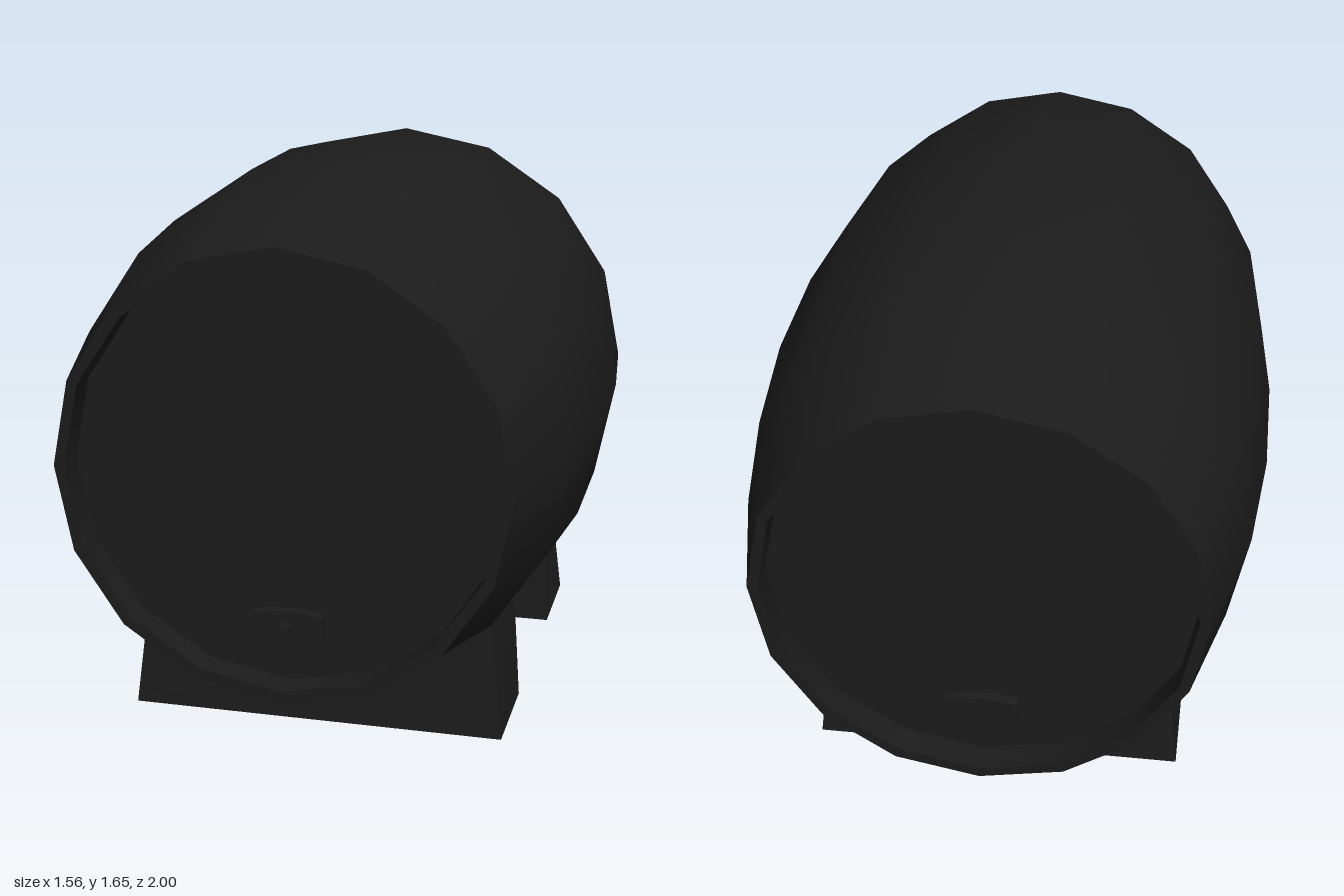
import * as THREE from 'three';

const SIDES = 16, AXIS_Y = 0.875, END_R = 0.648, INNER_R = 0.617, END_Z = 0.998, RECESS = 0.09;

export function createModel() {
  const model = new THREE.Group();
  model.name = 'barrelOnCradles';
  const black = new THREE.MeshStandardMaterial({ color: 0x1c1c1c });
  black.name = 'charcoal black';

  const add = (parent, name, geometry) => {
    const mesh = new THREE.Mesh(geometry, black);
    mesh.name = name;
    parent.add(mesh);
    return mesh;
  };
  // Lathe turned so that its axis runs along z
  const lathe = (points) => new THREE.LatheGeometry(
    points.map(([r, z]) => new THREE.Vector2(r, z)), SIDES).rotateX(Math.PI / 2);

  // Bulging staves
  add(model, 'barrelBody', lathe([
    [END_R, -END_Z], [0.745, -0.6], [0.78, -0.21], [0.78, 0.21], [0.745, 0.6], [END_R, END_Z],
  ])).position.y = AXIS_Y;

  // Recessed head with rim and plug, the same at both ends
  const plugShape = new THREE.Shape([
    [-0.105, 0.397], [-0.05, 0.385], [0.05, 0.385], [0.105, 0.397],
    [0.105, 0.463], [0.05, 0.475], [-0.05, 0.475], [-0.105, 0.463],
  ].map(([x, y]) => new THREE.Vector2(x, y - AXIS_Y)));
  const makeEnd = (name, side) => {
    const end = new THREE.Group();
    end.name = name;
    end.position.set(0, AXIS_Y, END_Z * side);
    end.rotation.y = side > 0 ? 0 : Math.PI;
    add(end, 'rim', new THREE.RingGeometry(INNER_R, END_R, SIDES));
    add(end, 'rimInnerWall', lathe([[INNER_R, 0], [INNER_R, -RECESS]]));
    add(end, 'head', new THREE.CircleGeometry(INNER_R, SIDES)).position.z = -RECESS;
    add(end, 'plug', new THREE.ExtrudeGeometry(plugShape, { depth: 0.03, bevelEnabled: false }))
      .position.z = -RECESS;
    model.add(end);
    return end;
  };
  const front = makeEnd('frontEnd', 1);
  makeEnd('backEnd', -1);

  // Small spigot on the front plug
  add(front, 'spigot', new THREE.CylinderGeometry(0.019, 0.019, 0.07, 8).rotateX(Math.PI / 2))
    .position.set(0, 0.43 - AXIS_Y, -0.033);

  // Cradle outline: flat foot and a saddle of unit radius about the barrel axis
  const outline = [new THREE.Vector2(-0.567, -2), new THREE.Vector2(0.567, -2)];
  for (let k = 2; k >= -2; k--) {
    const a = k * Math.PI / 8;
    outline.push(new THREE.Vector2(Math.sin(a), -Math.cos(a)));
  }
  const cradle = new THREE.ExtrudeGeometry(new THREE.Shape(outline), { depth: 1, bevelEnabled: false });
  // Fit the saddle to the staves and taper the block from foot to top
  const p = cradle.attributes.position;
  for (let i = 0; i < p.count; i++) {
    const outer = p.getZ(i) > 0.5;
    if (p.getY(i) < -1.5) {
      p.setXYZ(i, p.getX(i), 0, outer ? 0.63 : 0.3);
    } else {
      const r = outer ? 0.747 : 0.78;
      p.setXYZ(i, p.getX(i) * r, AXIS_Y + p.getY(i) * r, outer ? 0.6 : 0.33);
    }
  }
  cradle.computeVertexNormals();
  add(model, 'frontCradle', cradle);
  add(model, 'backCradle', cradle).rotation.y = Math.PI;
  return model;
}
